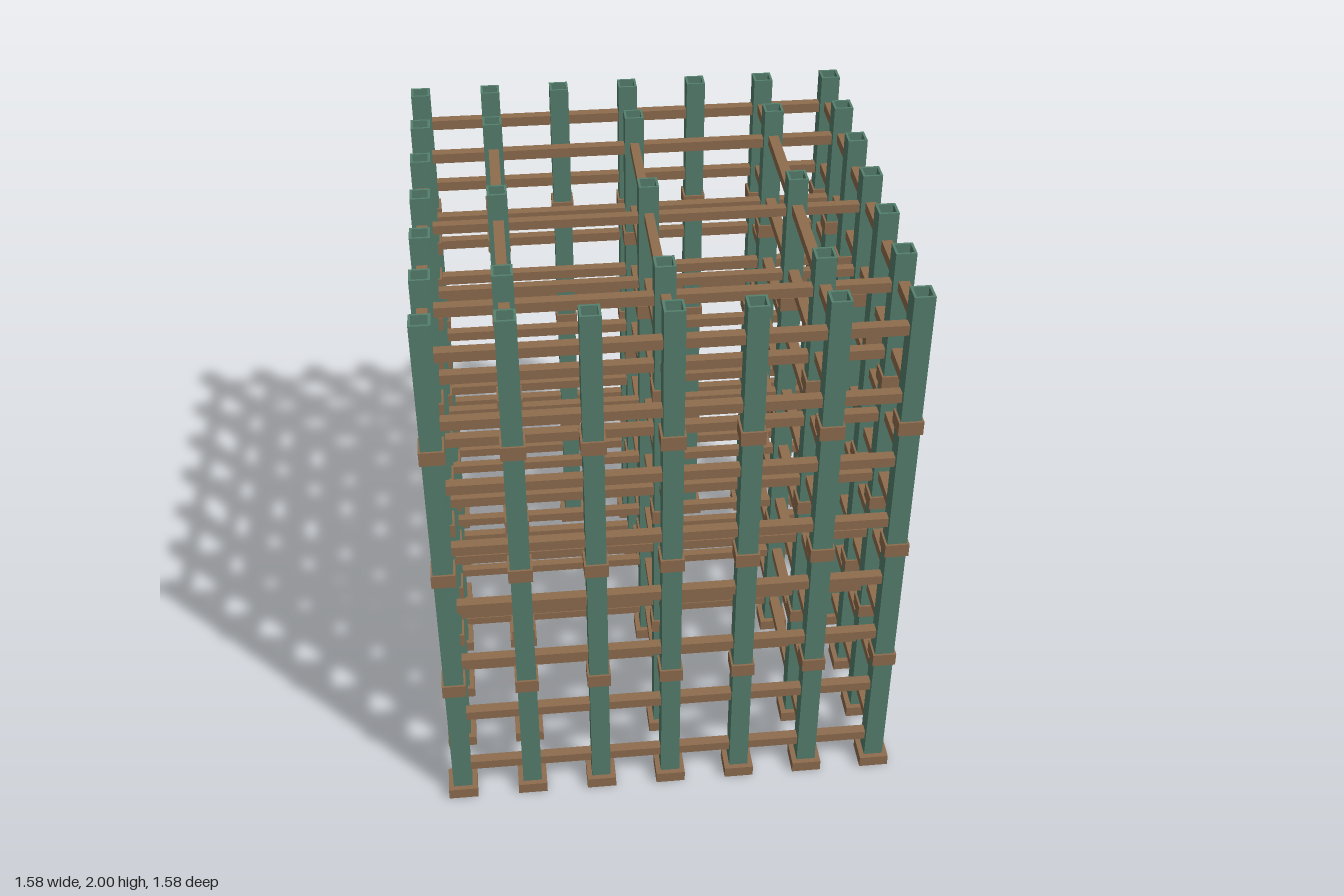
import * as THREE from 'three';

const EDGE = 0.74, INNER = 0.493, QUARTER = 0.247;

// Upright square tube, open at both ends, standing on y = 0
function squareTube(outer, inner, height) {
  const o = outer / 2, i = inner / 2;
  const shape = new THREE.Shape([[-o, -o], [o, -o], [o, o], [-o, o]].map(p => new THREE.Vector2(...p)));
  shape.holes.push(new THREE.Path([[-i, -i], [-i, i], [i, i], [i, -i]].map(p => new THREE.Vector2(...p))));
  const g = new THREE.ExtrudeGeometry(shape, { depth: height, bevelEnabled: false });
  return g.rotateX(-Math.PI / 2);
}

export function createModel() {
  const model = new THREE.Group();
  model.name = 'scaffoldTower';
  const green = new THREE.MeshStandardMaterial({ color: 0x55806d });
  green.name = 'greenPaint';
  const brown = new THREE.MeshStandardMaterial({ color: 0x8f6d4e });
  brown.name = 'brownTimber';

  const add = (parent, name, geometry, material, x, y, z) => {
    const mesh = new THREE.Mesh(geometry, material);
    mesh.name = name;
    mesh.position.set(x, y, z);
    parent.add(mesh);
  };

  // Hollow posts, each with a foot block and three collars
  const postGeo = squareTube(0.066, 0.05, 1.96);
  const collarGeo = squareTube(0.08, 0.064, 0.05);
  const footGeo = new THREE.BoxGeometry(0.102, 0.042, 0.102);
  const addPost = (x, z) => {
    const post = new THREE.Group();
    post.name = 'postAssembly';
    post.position.set(x, 0, z);
    add(post, 'post', postGeo, green, 0, 0.04, 0);
    add(post, 'foot', footGeo, brown, 0, 0.021, 0);
    for (const y of [0.495, 0.995, 1.495]) add(post, 'collar', collarGeo, brown, 0, y, 0);
    model.add(post);
  };
  const lines = [-EDGE, -INNER, 0, INNER, EDGE];
  for (const x of lines) for (const z of lines) addPost(x, z);
  for (const q of [-QUARTER, QUARTER]) {
    for (const e of [-EDGE, EDGE]) {
      addPost(q, e);
      addPost(e, q);
    }
  }

  // Eight levels of crossing rails through the post centres
  const rail = (along, t) => along === 'x'
    ? new THREE.BoxGeometry(2 * EDGE, t, t)
    : new THREE.BoxGeometry(t, t, 2 * EDGE);
  for (const p of lines) {
    const outer = Math.abs(p) === EDGE;
    const t = p === 0 ? 0.031 : 0.035;
    const shift = outer ? 0 : 0.004;
    const xGeo = rail('x', t), zGeo = rail('z', t);
    for (let k = 0; k < 8; k++) {
      const y = 0.125 + 0.25 * k;
      add(model, 'crossRail', xGeo, brown, 0, y - shift, p);
      add(model, 'sideRail', zGeo, brown, p, y + 0.01 + shift, 0);
    }
  }
  return model;
}
